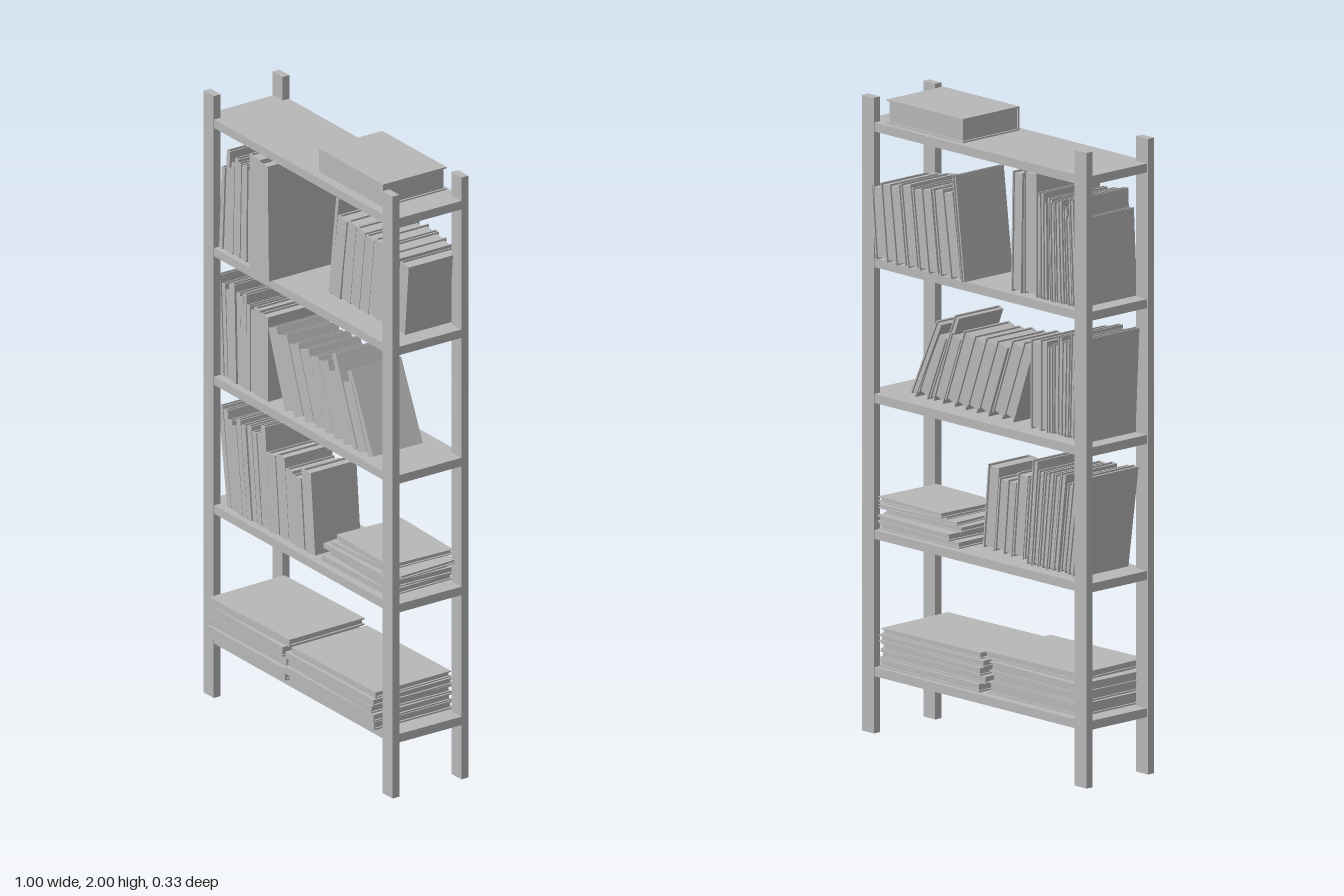
import * as THREE from 'three';

const grey = new THREE.MeshStandardMaterial({ color: 0xb8b8b8 });
grey.name = 'plain grey';

function box(parent, name, sx, sy, sz, x, y, z) {
  const mesh = new THREE.Mesh(new THREE.BoxGeometry(sx, sy, sz), grey);
  mesh.name = name;
  mesh.position.set(x, y, z);
  parent.add(mesh);
  return mesh;
}

// Small seeded generator for slight untidiness
let seed = 7;
function jitter(amount) {
  seed = (seed * 16807) % 2147483647;
  return (seed / 2147483647 - 0.5) * 2 * amount;
}

// Book: thickness along x, height along y from 0, spine facing +z
function makeBook(w, h, d) {
  const book = new THREE.Group();
  book.name = 'book';
  const c = Math.min(0.005, w * 0.2);
  const inset = 0.006;
  for (const s of [-1, 1]) box(book, 'cover', c, h, d, s * (w - c) / 2, h / 2, 0);
  box(book, 'spine', w - 2 * c, h, c, 0, h / 2, d / 2 - c / 2);
  box(book, 'pages', w - 2 * c, h - 2 * inset, d - inset - c, 0, h / 2, (inset - c) / 2);
  return book;
}

// Row of standing books: each entry is [width on the shelf, top height, lean override]
function bookRow(parent, name, floor, startX, lean, zFront, depth, books) {
  const row = new THREE.Group();
  row.name = name;
  let x = startX;
  for (const [width, top, own = lean] of books) {
    const a = THREE.MathUtils.degToRad(own);
    const w = width * Math.cos(a) * 0.96;
    const lift = w * Math.abs(Math.sin(a));
    const d = depth + jitter(0.006);
    const book = makeBook(w, (top - floor - lift) / Math.cos(a), d);
    book.rotation.z = -a;
    book.position.set(x + width / 2, floor + lift / 2, zFront - d / 2 + jitter(0.004));
    row.add(book);
    x += width;
  }
  parent.add(row);
}

// Stack of lying books: each entry is [x min, x max, y min, y max, z min, z max, yaw]
function bookStack(parent, name, books) {
  const stack = new THREE.Group();
  stack.name = name;
  for (const [x0, x1, y0, y1, z0, z1, yaw = 0] of books) {
    const holder = new THREE.Group();
    holder.name = 'lyingBook';
    const book = makeBook(y1 - y0, x1 - x0, z1 - z0);
    book.rotation.z = -Math.PI / 2;
    book.position.x = -(x1 - x0) / 2;
    holder.add(book);
    holder.position.set((x0 + x1) / 2, (y0 + y1) / 2, (z0 + z1) / 2);
    holder.rotation.y = THREE.MathUtils.degToRad(yaw);
    stack.add(holder);
  }
  parent.add(stack);
}

// Thin books with alternating heights
function thinBooks(count, width, tops, leanFirst, leanLast) {
  return Array.from({ length: count }, (_, i) => [
    width, tops[i % tops.length], leanFirst + (leanLast - leanFirst) * i / (count - 1)]);
}

export function createModel() {
  seed = 7;
  const model = new THREE.Group();
  model.name = 'bookcase';

  // Four uprights
  for (const x of [-0.476, 0.472])
    for (const z of [-0.145, 0.112]) box(model, 'upright', 0.053, 2, 0.026, x, 1, z);

  // Five shelves, with clipped corners hidden behind the uprights
  const outline = new THREE.Shape();
  const X = 0.498, Z0 = -0.156, Z1 = 0.123, c = 0.022;
  [[-X + c, Z0], [X - c, Z0], [X, Z0 + c], [X, Z1 - c], [X - c, Z1], [-X + c, Z1], [-X, Z1 - c], [-X, Z0 + c]]
    .forEach(([x, z], i) => (i ? outline.lineTo(x, -z) : outline.moveTo(x, -z)));
  const shelfGeometry = new THREE.ExtrudeGeometry(outline, { depth: 0.028, bevelEnabled: false });
  shelfGeometry.rotateX(-Math.PI / 2);
  for (const top of [0.208, 0.64, 1.068, 1.495, 1.922]) {
    const shelf = new THREE.Mesh(shelfGeometry, grey);
    shelf.name = 'shelf';
    shelf.position.y = top - 0.028;
    model.add(shelf);
  }

  // Big book on the top shelf
  bookStack(model, 'topBook', [[0.065, 0.405, 1.924, 2, -0.142, 0.094]]);

  // Fourth shelf
  bookRow(model, 'fourthShelfThinBooks', 1.495, -0.445, 0, 0.105, 0.235,
    thinBooks(11, 0.0178, [1.77, 1.83, 1.775, 1.8, 1.82, 1.81, 1.805, 1.815, 1.8, 1.83, 1.82], 3, 0));
  bookRow(model, 'fourthShelfTallBooks', 1.495, -0.247, 0, 0.135, 0.265,
    [[0.062, 1.883], [0.046, 1.875, -1]]);
  bookRow(model, 'fourthShelfLeaningBooks', 1.495, 0.032, 7, 0.035, 0.2,
    [[0.015, 1.825], [0.05, 1.772, 8], [0.048, 1.77], [0.048, 1.765], [0.048, 1.755],
      [0.048, 1.76], [0.048, 1.75], [0.048, 1.745, 6], [0.05, 1.73, 5]]);

  // Third shelf
  bookRow(model, 'thirdShelfThinBooks', 1.068, -0.448, 0, 0.1, 0.2,
    thinBooks(10, 0.0175, [1.4, 1.375, 1.36, 1.385, 1.395, 1.37, 1.365, 1.38, 1.35, 1.34], -3, 0));
  bookRow(model, 'thirdShelfBooks', 1.068, -0.272, 0, 0.1, 0.2, [[0.034, 1.355], [0.044, 1.348]]);
  bookRow(model, 'thirdShelfLeaningBooks', 1.068, -0.11, -20, 0.1, 0.19,
    [[0.052, 1.33], [0.054, 1.325], [0.054, 1.315], [0.052, 1.315], [0.052, 1.31], [0.052, 1.315],
      [0.05, 1.3], [0.024, 1.355, -22], [0.05, 1.29, -22], [0.028, 1.325, -25]]);

  // Second shelf
  bookRow(model, 'secondShelfThinBooks', 0.64, -0.418, -7, 0.1, 0.21,
    thinBooks(10, 0.0232, [0.965, 0.96, 0.935, 0.925, 0.955, 0.945, 0.95, 0.94, 0.945, 0.975], -8, -5));
  bookRow(model, 'secondShelfBooks', 0.64, -0.184, -5, 0.1, 0.175,
    [[0.048, 0.9], [0.048, 0.91], [0.04, 0.88], [0.05, 0.875], [0.052, 0.91]]);
  bookStack(model, 'secondShelfStack', [
    [0.09, 0.44, 0.642, 0.662, -0.14, 0.1, 1],
    [0.11, 0.44, 0.664, 0.686, -0.15, 0.09, -2],
    [0.1, 0.44, 0.688, 0.704, -0.12, 0.1, 1],
    [0.12, 0.47, 0.706, 0.718, -0.13, 0.085, 3],
    [0.15, 0.44, 0.728, 0.744, -0.145, 0.09, -2],
    [0.16, 0.42, 0.718, 0.728, -0.12, 0.08]]);

  // Bottom shelf
  bookStack(model, 'bottomLeftStack', [
    [-0.445, -0.035, 0.21, 0.248, -0.13, 0.15],
    [-0.44, -0.05, 0.25, 0.28, -0.13, 0.14, 1],
    [-0.45, -0.05, 0.282, 0.314, -0.14, 0.145, -1],
    [-0.42, -0.06, 0.314, 0.322, -0.12, 0.12],
    [-0.44, -0.03, 0.322, 0.346, -0.14, 0.145, 1.5]]);
  bookStack(model, 'bottomRightStack', [
    [-0.01, 0.435, 0.21, 0.236, -0.145, 0.15],
    [-0.03, 0.435, 0.238, 0.262, -0.14, 0.155, 0.5],
    [-0.02, 0.43, 0.264, 0.288, -0.145, 0.15, -1],
    [-0.025, 0.435, 0.29, 0.312, -0.145, 0.155, 0.7],
    [-0.005, 0.43, 0.313, 0.333, -0.14, 0.145, 1]]);

  return model;
}
